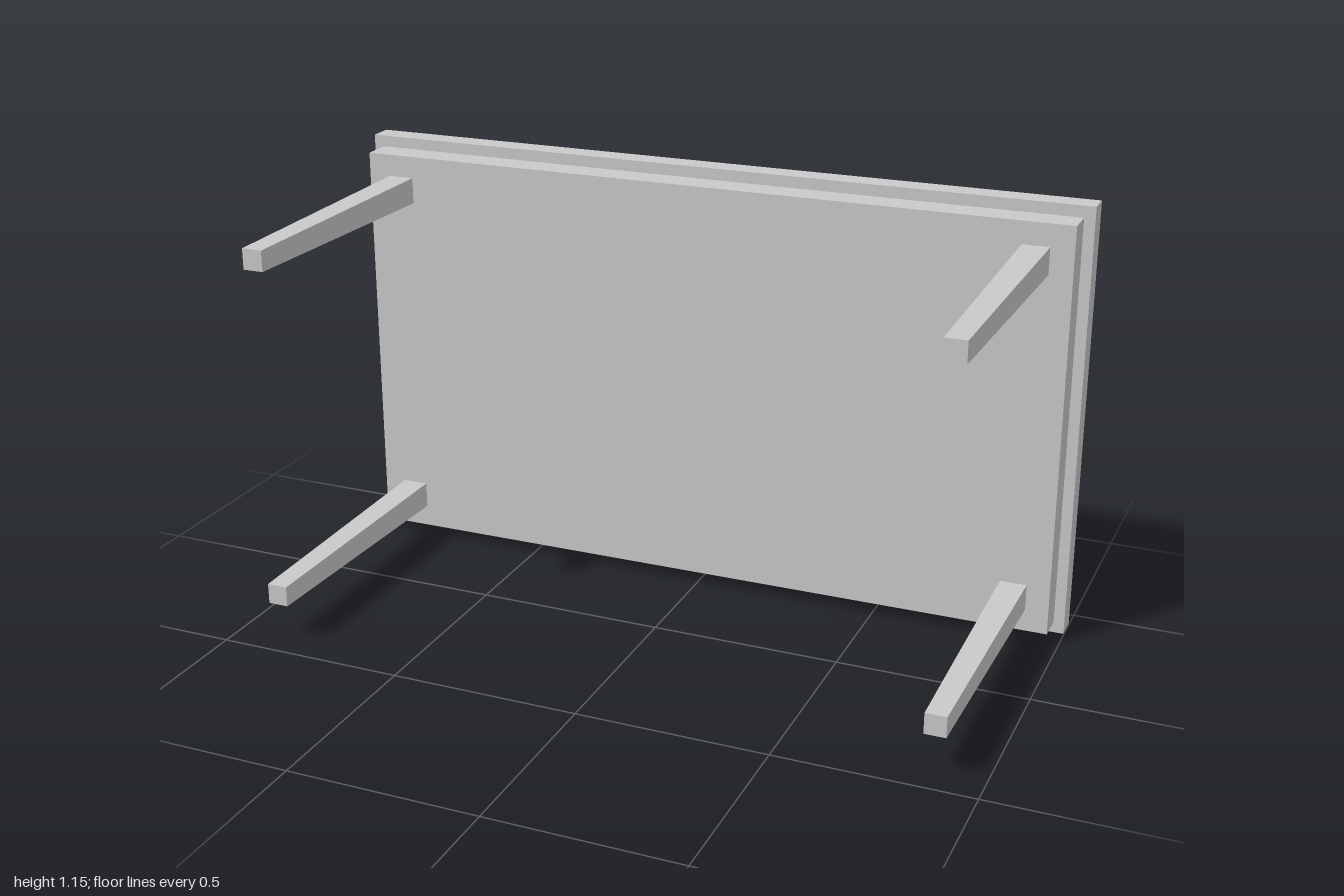
import * as THREE from 'three';

export function createModel() {
  const model = new THREE.Group();
  model.name = 'tableOnItsSide';
  const grey = new THREE.MeshStandardMaterial({ color: 0xc9c9c9 });
  grey.name = 'light grey';

  // The table is tipped so its top faces -z, with a barely visible roll.
  const table = new THREE.Group();
  table.name = 'table';
  table.position.y = 0.577;
  table.rotation.z = 0.0022;
  model.add(table);

  const add = (name, geometry, x, y, z) => {
    const mesh = new THREE.Mesh(geometry, grey);
    mesh.name = name;
    mesh.position.set(x, y, z);
    table.add(mesh);
  };

  // Top board and the smaller block beneath it
  add('tabletop', new THREE.BoxGeometry(1.997, 1.149, 0.064), 0, 0, -0.405);
  add('apron', new THREE.BoxGeometry(1.941, 1.088, 0.08), 0, 0, -0.333);

  // Square legs, narrower towards the foot
  const leg = new THREE.CylinderGeometry(0.07 / Math.SQRT2, 0.054 / Math.SQRT2, 0.732, 4, 1)
    .toNonIndexed();
  leg.rotateY(Math.PI / 4);
  leg.rotateX(-Math.PI / 2);
  leg.computeVertexNormals();
  for (const sx of [-1, 1]) {
    for (const sy of [-1, 1]) {
      add((sy > 0 ? 'upper' : 'lower') + (sx > 0 ? 'Left' : 'Right') + 'Leg',
        leg, sx * 0.875, sy * 0.45, 0.072);
    }
  }
  return model;
}
